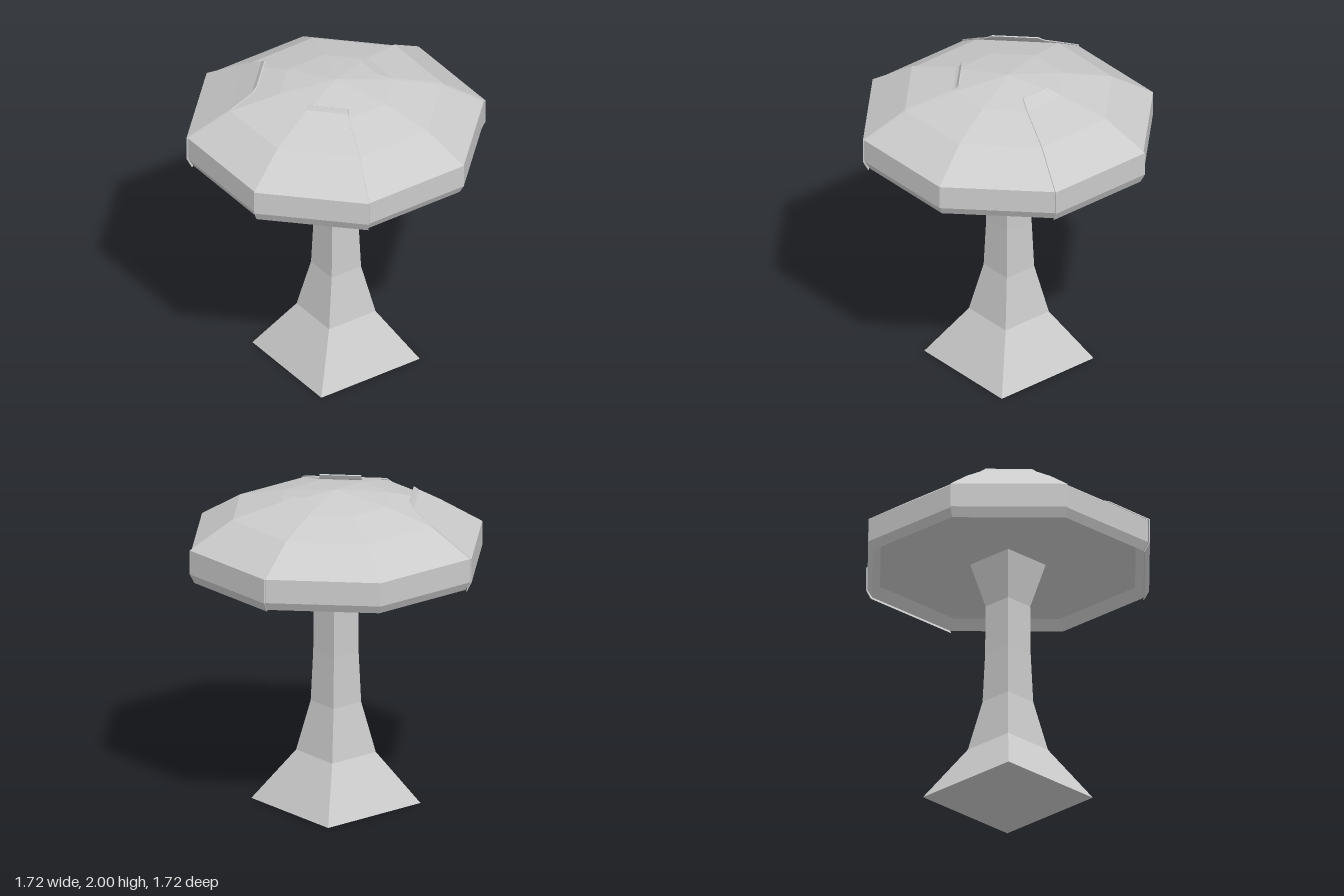
import * as THREE from 'three';

const material = new THREE.MeshStandardMaterial({ color: 0xcccccc, flatShading: true, side: THREE.DoubleSide });

// Faceted solid of revolution; profile holds [distance to flat side, height]
function faceted(name, sides, profile) {
  const k = 1 / Math.cos(Math.PI / sides);
  const points = profile.map(([d, y]) => new THREE.Vector2(d * k, y));
  const geometry = new THREE.LatheGeometry(points, sides, Math.PI / sides).toNonIndexed();
  geometry.computeVertexNormals();
  const mesh = new THREE.Mesh(geometry, material);
  mesh.name = name;
  return mesh;
}

// Thin plate lying on one side of the cap; rows hold [distance, height, half width]
function plate(name, rows, angle) {
  const t = 0.007;
  const positions = [];
  const index = [];
  for (const [d, y, w] of rows) {
    positions.push(-w, y, d, w, y, d, w, y - t / 2, d - t, -w, y - t / 2, d - t);
  }
  for (let i = 0; i < rows.length - 1; i++) {
    for (let j = 0; j < 4; j++) {
      const a = i * 4 + j;
      const b = i * 4 + ((j + 1) % 4);
      index.push(a, b, b + 4, a, b + 4, a + 4);
    }
  }
  const n = (rows.length - 1) * 4;
  index.push(0, 2, 1, 0, 3, 2, n, n + 1, n + 2, n, n + 2, n + 3);
  let geometry = new THREE.BufferGeometry();
  geometry.setAttribute('position', new THREE.Float32BufferAttribute(positions, 3));
  geometry.setIndex(index);
  geometry = geometry.toNonIndexed();
  geometry.computeVertexNormals();
  const mesh = new THREE.Mesh(geometry, material);
  mesh.name = name;
  mesh.rotation.y = angle;
  return mesh;
}

export function createModel() {
  const group = new THREE.Group();
  group.name = 'mushroom';

  // Square stem, flared at foot and top, reaching the recessed underside
  group.add(faceted('stem', 4, [
    [0, 0], [0.365, 0], [0.172, 0.32], [0.109, 0.64], [0.098, 0.96], [0.096, 1.28], [0.163, 1.562],
  ]));

  // Eight-sided cap with a recessed underside inside a bevelled rim
  group.add(faceted('cap', 8, [
    [0, 1.56], [0.775, 1.56], [0.822, 1.497], [0.85, 1.55], [0.85, 1.7], [0.608, 1.863], [0.325, 1.944], [0, 2],
  ]));

  // Three raised plates wrapping the rim, with lifted inner tips
  const rim = [[0.832, 1.49, 0.345], [0.861, 1.55, 0.355], [0.861, 1.703, 0.355], [0.613, 1.871, 0.254]];
  group.add(plate('backPlate', [...rim, [0.33, 1.952, 0.135], [0.247, 1.986, 0.095]], Math.PI));
  group.add(plate('frontLeftPlate', [...rim, [0.33, 1.956, 0.135], [0.312, 1.966, 0.129], [0.297, 1.993, 0.127]], Math.PI / 4));
  group.add(plate('frontRightPlate', [...rim, [0.491, 1.956, 0.173], [0.467, 1.986, 0.141]], -Math.PI / 4));

  return group;
}
